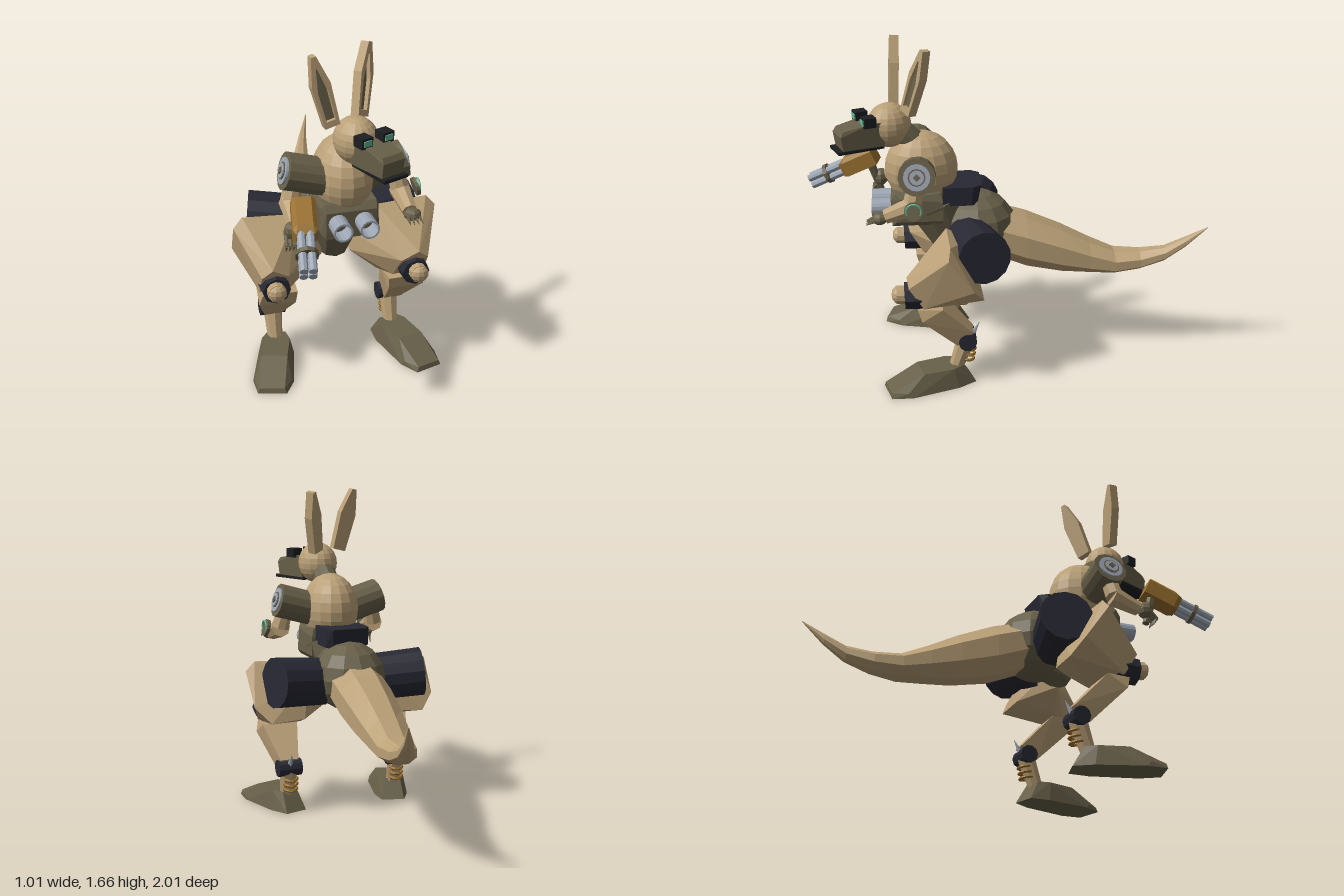
import * as THREE from 'three';
import { ConvexGeometry } from 'three/addons/geometries/ConvexGeometry.js';

const V = (a) => new THREE.Vector3(...a);
const UP = new THREE.Vector3(0, 1, 0);

export function createModel() {
  const mat = (name, color, side = THREE.FrontSide) =>
    Object.assign(new THREE.MeshStandardMaterial({ color, flatShading: true, side }), { name });
  const tan = mat('tan', 0xbaa077);
  const olive = mat('olive', 0x686049);
  const navy = mat('navy', 0x272833);
  const steel = mat('steel', 0x9ca5b2, THREE.DoubleSide);
  const brass = mat('brass', 0x99702f);
  const black = mat('black', 0x1c1e20);
  const green = mat('green', 0x62b592);

  const model = new THREE.Group();
  model.name = 'mechanicalKangaroo';
  const group = (name, parent = model) => {
    const g = new THREE.Group();
    g.name = name;
    parent.add(g);
    return g;
  };
  const add = (parent, name, geo, m, pos = [0, 0, 0], rot = [0, 0, 0]) => {
    const mesh = new THREE.Mesh(geo, m);
    mesh.name = name;
    mesh.position.set(...pos);
    mesh.rotation.set(...rot);
    parent.add(mesh);
    return mesh;
  };
  // Tapered cylinder from a (radius ra) to b (radius rb)
  const rod = (parent, name, a, b, ra, rb, m, sides = 8, open = false) => {
    const d = V(b).sub(V(a));
    const mesh = add(parent, name, new THREE.CylinderGeometry(rb, ra, d.length(), sides, 1, open), m);
    mesh.position.copy(V(a)).addScaledVector(d, 0.5);
    mesh.quaternion.setFromUnitVectors(UP, d.normalize());
    return mesh;
  };
  const ball = (parent, name, pos, r, m, w = 16, h = 12) =>
    add(parent, name, new THREE.SphereGeometry(1, w, h), m, pos).scale.set(...r);
  const hull = (parent, name, pts, m, pos, rot) =>
    add(parent, name, new ConvexGeometry(pts.map(V)), m, pos, rot);

  // Torso
  const torso = group('torso');
  ball(torso, 'chest', [0, 1.035, 0.42], [0.145, 0.19, 0.18], tan);
  ball(torso, 'pelvis', [0, 0.72, 0.15], [0.19, 0.18, 0.2], olive, 12, 8);
  rod(torso, 'waist', [0, 0.56, 0.24], [0, 0.86, 0.36], 0.08, 0.15, olive, 10);
  rod(torso, 'neck', [0, 1.14, 0.43], [0.01, 1.25, 0.53], 0.07, 0.06, olive, 10);
  hull(torso, 'backPack', [-1, 1].flatMap((s) => [
    [s * 0.12, 0.965, 0.32], [s * 0.12, 0.965, 0.17], [s * 0.09, 0.965, 0.13],
    [s * 0.12, 0.87, 0.32], [s * 0.12, 0.87, 0.18], [s * 0.08, 0.86, 0.15]]), navy);
  hull(torso, 'pouch', [-1, 1].flatMap((s) => [
    [s * 0.14, 0.92, 0.53], [s * 0.125, 0.945, 0.55], [s * 0.125, 0.945, 0.33], [s * 0.14, 0.9, 0.32],
    [s * 0.14, 0.8, 0.32], [s * 0.12, 0.775, 0.33], [s * 0.12, 0.775, 0.57], [s * 0.14, 0.8, 0.55],
    [s * 0.12, 0.91, 0.575]]), olive);
  for (const x of [-0.065, 0.06]) {
    rod(torso, 'launchTube', [x, 0.855, 0.55], [x, 0.855, 0.67], 0.045, 0.045, steel, 16, true);
    add(torso, 'tubeRim', new THREE.RingGeometry(0.037, 0.046, 16), steel, [x, 0.855, 0.67]);
  }

  // Head, turned towards its left
  const head = group('head');
  head.position.set(0.015, 1.265, 0.57);
  head.rotation.y = 0.38;
  ball(head, 'skull', [0, 0, 0], [0.1, 0.11, 0.11], tan);
  hull(head, 'muzzle', [-1, 1].flatMap((s) => [
    [s * 0.07, 0.04, 0.05], [s * 0.07, 0.035, 0.13], [s * 0.055, 0.015, 0.25], [s * 0.06, -0.01, 0.265],
    [s * 0.058, -0.08, 0.255], [s * 0.07, -0.08, 0.05]]), olive);
  hull(head, 'jaw', [-0.095, -0.08].flatMap((y) => [
    [-0.06, y, 0.05], [0.06, y, 0.05], [0.065, y, 0.28], [-0.065, y, 0.28]]), black);
  for (const s of [-1, 1]) {
    add(head, 'eyeHousing', new THREE.BoxGeometry(0.06, 0.048, 0.06), black, [s * 0.059, 0.05, 0.125]);
    add(head, 'eyeLens', new THREE.BoxGeometry(0.042, 0.026, 0.006), green, [s * 0.059, 0.05, 0.157]);
  }

  // Ears: hollowed frame with a darker panel inside
  const poly = (pts) => pts.map((p) => new THREE.Vector2(...p));
  const inner = poly([[-0.022, 0.03], [0.022, 0.03], [0.024, 0.17], [0.004, 0.28], [-0.004, 0.28], [-0.024, 0.17]]);
  const frame = new THREE.Shape(poly([[-0.036, 0], [0.036, 0], [0.044, 0.2], [0.012, 0.335], [-0.012, 0.335], [-0.044, 0.2]]));
  frame.holes.push(new THREE.Path(inner));
  const earGeo = new THREE.ExtrudeGeometry(frame, { depth: 0.025, bevelEnabled: false });
  const backGeo = new THREE.ExtrudeGeometry(new THREE.Shape(frame.getPoints()), { depth: 0.02, bevelEnabled: false });
  const ears = [['rightEar', [-0.092, 1.335, 0.545], [-0.18, 1.67, 0.53], [0.1, 0, 1]],
    ['leftEar', [0.057, 1.335, 0.475], [0.115, 1.67, 0.38], [0.55, 0, 0.83]]];
  for (const [name, base, tip, face] of ears) {
    const ear = group(name);
    const y = V(tip).sub(V(base)).normalize();
    const x = y.clone().cross(V(face)).normalize();
    ear.position.set(...base);
    ear.quaternion.setFromRotationMatrix(new THREE.Matrix4().makeBasis(x, y, x.clone().cross(y)));
    add(ear, 'earFrame', earGeo, tan);
    add(ear, 'earBack', backGeo, tan, [0, 0, -0.02]);
    add(ear, 'earPanel', new THREE.ShapeGeometry(new THREE.Shape(inner)), olive, [0, 0, 0.004]);
  }

  // Tail: eight-sided rings [x, y, z, halfWidth, halfHeight]
  const rings = [[0, 0.69, 0.06, 0.14, 0.125], [0.005, 0.635, -0.1, 0.138, 0.135], [0.015, 0.58, -0.28, 0.125, 0.115],
    [0.025, 0.54, -0.42, 0.11, 0.085], [0.04, 0.51, -0.55, 0.095, 0.06], [0.06, 0.522, -0.68, 0.07, 0.048],
    [0.1, 0.565, -0.8, 0.042, 0.036], [0.135, 0.64, -0.9, 0.022, 0.025], [0.18, 0.735, -1, 0.002, 0.002]];
  const pos = [], idx = [], N = 8;
  rings.forEach(([x, y, z, w, h], i) => {
    for (let j = 0; j < N; j++) {
      const a = ((j + 0.5) / N) * Math.PI * 2;
      pos.push(x + Math.cos(a) * w * 1.06, y + Math.sin(a) * h * 1.06, z);
      if (i) {
        const k = (j + 1) % N, p = (i - 1) * N, q = i * N;
        idx.push(p + j, p + k, q + j, p + k, q + k, q + j);
      }
    }
  });
  // Wind every face outwards (rings run towards -z)
  for (let i = 0; i < idx.length; i += 3) [idx[i + 1], idx[i + 2]] = [idx[i + 2], idx[i + 1]];
  const tailGeo = new THREE.BufferGeometry();
  tailGeo.setAttribute('position', new THREE.Float32BufferAttribute(pos, 3));
  tailGeo.setIndex(idx);
  tailGeo.computeVertexNormals();
  add(model, 'tail', tailGeo, tan);

  for (const s of [1, -1]) {
    const side = s > 0 ? 'left' : 'right';
    // Leg
    const leg = group(side + 'Leg');
    leg.scale.x = s;
    rod(leg, 'hipDrum', [0.13, 0.69, 0.2], [0.405, 0.715, 0.135], 0.125, 0.13, navy, 14);
    hull(leg, 'thigh', [[0.46, 0.8, 0.3], [0.2, 0.79, 0.31], [0.505, 0.75, 0.31], [0.495, 0.58, 0.19],
      [0.42, 0.5, 0.14], [0.24, 0.51, 0.15], [0.07, 0.65, 0.28], [0.07, 0.55, 0.3], [0.2, 0.45, 0.34],
      [0.28, 0.56, 0.49], [0.41, 0.57, 0.5], [0.36, 0.61, 0.51], [0.41, 0.46, 0.43], [0.26, 0.45, 0.42],
      [0.2, 0.72, 0.2]], tan);
    rod(leg, 'kneeJoint', [0.345, 0.51, 0.4], [0.345, 0.505, 0.52], 0.075, 0.068, navy, 8);
    rod(leg, 'kneeCap', [0.35, 0.512, 0.49], [0.35, 0.515, 0.56], 0.045, 0.045, tan, 10);
    ball(leg, 'kneeKnob', [0.35, 0.515, 0.555], [0.045, 0.042, 0.03], tan, 10, 6);
    hull(leg, 'shin', [[0.23, 0.45, 0.46], [0.4, 0.45, 0.46], [0.22, 0.45, 0.34], [0.41, 0.45, 0.34],
      [0.235, 0.38, 0.44], [0.415, 0.39, 0.44], [0.27, 0.22, 0.27], [0.355, 0.22, 0.27],
      [0.265, 0.29, 0.19], [0.36, 0.29, 0.19]], tan);
    rod(leg, 'hockJoint', [0.245, 0.24, 0.22], [0.37, 0.24, 0.22], 0.045, 0.045, navy, 10);
    rod(leg, 'hockSpike', [0.31, 0.23, 0.21], [0.31, 0.325, 0.16], 0.022, 0.001, steel, 6);
    rod(leg, 'ankle', [0.305, 0.23, 0.225], [0.305, 0.07, 0.28], 0.048, 0.036, tan, 8);
    for (let i = 0; i < 3; i++)
      add(leg, 'spring', new THREE.TorusGeometry(0.034, 0.008, 5, 12), brass,
        [0.3, 0.125 + i * 0.028, 0.222 - i * 0.004], [Math.PI / 2 - 0.2, 0, 0]);
    hull(leg, 'foot', [-1, 1].flatMap((m) => [
      [m * 0.06, 0, -0.14], [m * 0.09, 0, -0.04], [m * 0.1, 0, 0.2], [m * 0.07, 0, 0.3],
      [m * 0.09, 0.025, 0.22], [m * 0.06, 0.025, 0.295],
      [m * 0.045, 0.1, -0.08], [m * 0.07, 0.1, -0.02], [m * 0.065, 0.1, 0.13]]), olive, [0.315, 0, 0.33], [0, 0.28, 0]);

    // Arm
    const arm = group(side + 'Arm');
    arm.scale.x = s;
    rod(arm, 'shoulderDrum', [0.1, 1.037, 0.44], [0.285, 1.09, 0.445], 0.09, 0.09, olive, 14);
    const cap = (name, r, a, b, m, n) => rod(arm, name, [0.285 + a * 0.96, 1.09 + a * 0.28, 0.445],
      [0.285 + b * 0.96, 1.09 + b * 0.28, 0.445], r, r, m, n);
    cap('shoulderDisc', 0.064, -0.01, 0.009, steel, 16);
    cap('shoulderInset', 0.042, 0, 0.013, olive, 12);
    cap('shoulderHub', 0.035, 0, 0.017, steel, 12);
    cap('shoulderBolt', 0.018, 0, 0.023, olive, 4);
    rod(arm, 'upperArm', [0.24, 1.05, 0.45], [0.265, 0.94, 0.47], 0.04, 0.048, tan, 8);
    rod(arm, 'forearm', [0.265, 0.94, 0.46], [0.27, 0.89, 0.6], 0.052, 0.036, tan, 8);
  }

  // Left hand with claws and a round elbow guard
  const left = model.getObjectByName('leftArm');
  rod(left, 'elbowGuard', [0.335, 0.94, 0.465], [0.352, 0.945, 0.465], 0.045, 0.045, olive, 14);
  const ring = add(left, 'guardRing', new THREE.TorusGeometry(0.036, 0.005, 6, 18), green, [0.353, 0.945, 0.465]);
  ring.rotation.y = Math.PI / 2;
  ball(left, 'hand', [0.275, 0.885, 0.625], [0.042, 0.03, 0.04], olive, 8, 6);
  for (let i = 0; i < 4; i++)
    rod(left, 'claw', [0.247 + i * 0.018, 0.88, 0.65], [0.245 + i * 0.02, 0.865, 0.69], 0.009, 0.002, olive, 5);

  // Right hand gripping the gun, x mirrored by its arm group
  const right = model.getObjectByName('rightArm');
  ball(right, 'hand', [0.29, 0.88, 0.63], [0.045, 0.045, 0.04], olive, 8, 6);
  rod(right, 'gunGrip', [0.285, 0.81, 0.63], [0.265, 0.97, 0.68], 0.018, 0.022, olive, 6);
  for (let i = 0; i < 4; i++) {
    rod(right, 'finger', [0.27 + i * 0.018, 0.87, 0.63], [0.275 + i * 0.018, 0.825, 0.67], 0.01, 0.008, olive, 5);
    rod(right, 'claw', [0.275 + i * 0.018, 0.825, 0.67], [0.28 + i * 0.016, 0.79, 0.65], 0.008, 0.002, olive, 5);
  }

  // Gun, aimed forwards and slightly down
  const gun = group('gun');
  gun.position.set(-0.265, 0.985, 0.735);
  gun.lookAt(-0.312, 0.857, 1.0);
  hull(gun, 'gunBody', [-1, 1].flatMap((m) => [
    [m * 0.055, 0.03, -0.09], [m * 0.055, 0.03, 0.075], [m * 0.035, 0.05, -0.09], [m * 0.035, 0.05, 0.06],
    [m * 0.055, -0.045, -0.09], [m * 0.055, -0.045, 0.075], [m * 0.04, 0.03, 0.1], [m * 0.04, -0.04, 0.1]]), brass);
  for (let i = 0; i < 4; i++) {
    const a = Math.PI / 4 + (i * Math.PI) / 2, x = Math.cos(a) * 0.028, y = Math.sin(a) * 0.028;
    rod(gun, 'barrel', [x, y, 0.08], [x, y, 0.285], 0.019, 0.019, steel, 8);
  }
  rod(gun, 'barrelBand', [0, 0, 0.175], [0, 0, 0.195], 0.052, 0.052, olive, 10);
  return model;
}
